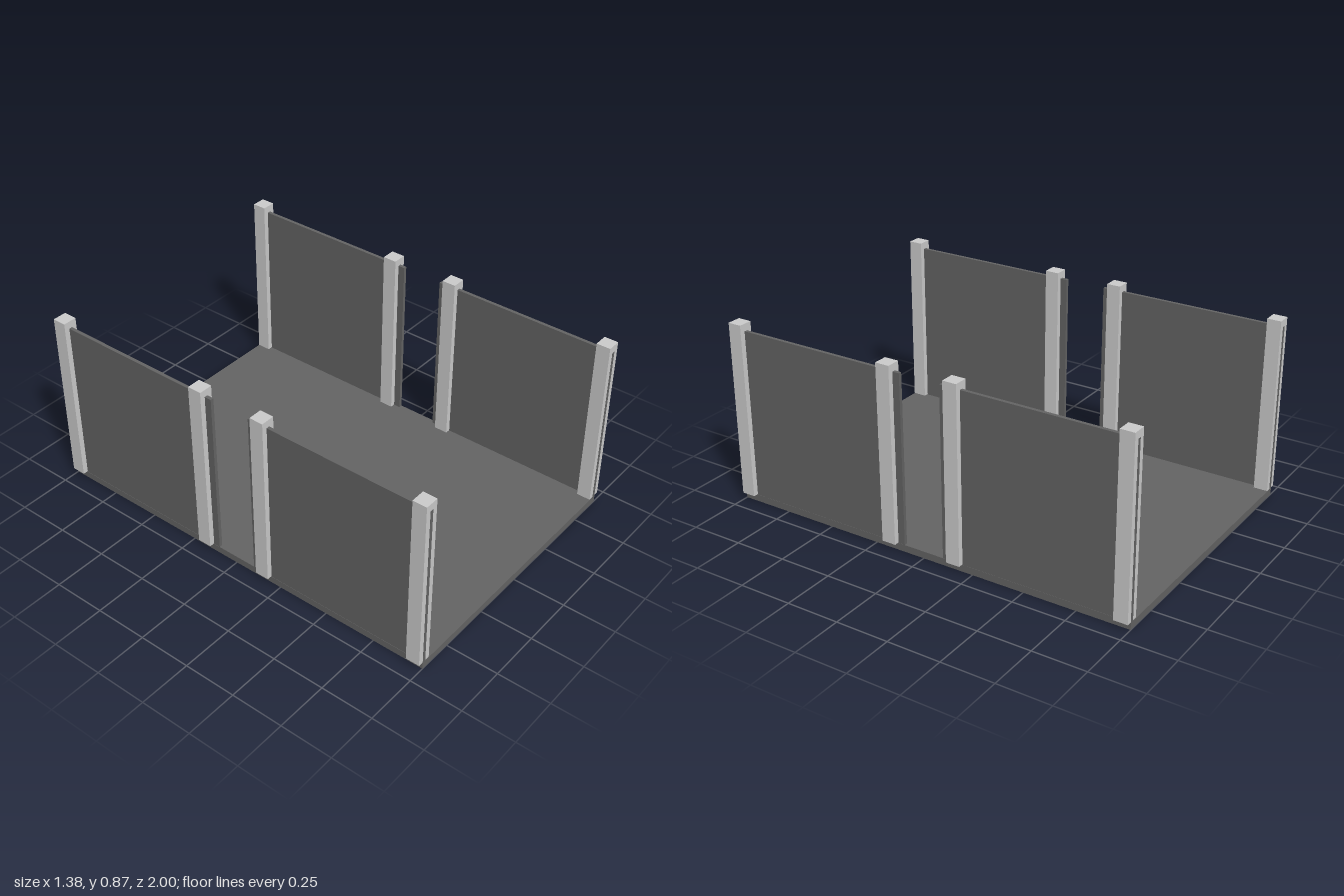
import * as THREE from 'three';

const dark = new THREE.MeshStandardMaterial({ color: 0x646464 });
const grey = new THREE.MeshStandardMaterial({ color: 0xcccccc });

// Box given by its minimum and maximum corners
function box(name, material, [x0, y0, z0], [x1, y1, z1]) {
  const mesh = new THREE.Mesh(new THREE.BoxGeometry(x1 - x0, y1 - y0, z1 - z0), material);
  mesh.position.set((x0 + x1) / 2, (y0 + y1) / 2, (z0 + z1) / 2);
  mesh.name = name;
  return mesh;
}

// One wall panel with a post at its outer end and one near the gap
function wallSection(name) {
  const section = new THREE.Group();
  section.name = name;
  section.add(box('wallPanel', dark, [-0.008, 0.033, -0.45], [0.008, 0.833, 0.45]));
  // Posts stop a hair short of the panel end so the faces do not coincide
  section.add(box('endPost', grey, [-0.033, 0.035, 0.383], [0.033, 0.867, 0.449]));
  section.add(box('gapPost', grey, [-0.033, 0.035, -0.417], [0.033, 0.867, -0.35]));
  return section;
}

export function createModel() {
  const model = new THREE.Group();
  model.name = 'walledPlatform';

  // Floor slab
  model.add(box('floor', dark, [-0.667, 0, -1], [0.667, 0.033, 1]));

  // Four wall sections, turned so each end post sits at a corner
  for (const [side, x] of [['left', 0.658], ['right', -0.658]]) {
    for (const [end, z] of [['Front', 0.55], ['Back', -0.55]]) {
      const section = wallSection(`${side}${end}Wall`);
      section.position.set(x, 0, z);
      if (z < 0) section.rotation.y = Math.PI;
      model.add(section);
    }
  }
  return model;
}
